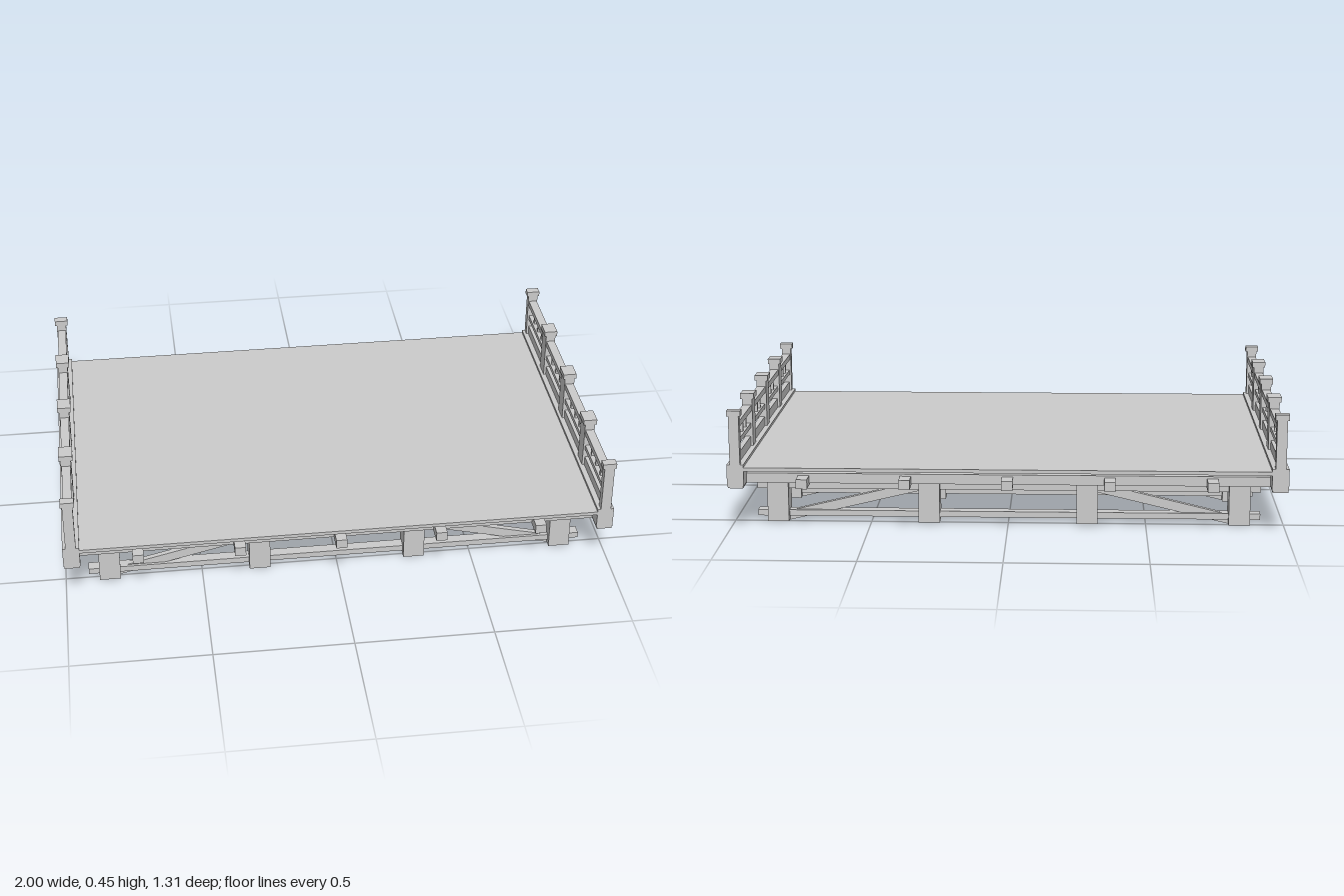
import * as THREE from 'three';

const mat = new THREE.MeshStandardMaterial({ color: 0xcccccc, flatShading: true });

export function createModel() {
  const root = new THREE.Group();

  // Box given by its centre x and z, its bottom and top, and its widths
  const box = (parent, name, x, z, y0, y1, w, d) => {
    const mesh = new THREE.Mesh(new THREE.BoxGeometry(w, y1 - y0, d), mat);
    mesh.name = name;
    mesh.position.set(x, (y0 + y1) / 2, z);
    parent.add(mesh);
    return mesh;
  };
  const group = (name) => {
    const g = new THREE.Group();
    g.name = name;
    root.add(g);
    return g;
  };

  // Deck boards
  box(root, 'deck', 0, 0, 0.225, 0.238, 1.89, 1.31);

  // Stringers running along the deck
  const stringers = group('stringers');
  for (let i = 0; i < 8; i++) {
    box(stringers, 'stringer', 0, (i - 3.5) * 0.1635, 0.167, 0.203, 1.89, 0.037);
  }

  // Joists running across the deck
  const joists = group('joists');
  for (let i = -2; i <= 2; i++) box(joists, 'joist', i * 0.367, 0, 0.16, 0.195, 0.04, 1.305);

  // Four trestle frames: legs, top beam, lower tie and diagonal braces
  for (const z of [-0.49, -0.164, 0.164, 0.49]) {
    const frame = group('trestleFrame');
    box(frame, 'topBeam', 0, z, 0.126, 0.168, 1.83, 0.045);
    box(frame, 'lowerTie', 0, z, 0.022, 0.044, 1.83, 0.04);
    for (const s of [-1, 1]) {
      for (const x of [0.287, 0.838]) box(frame, 'leg', s * x, z, 0.006, 0.166, 0.077, 0.08);
      const x0 = 0.82, y0 = 0.0165, x1 = 0.29, y1 = 0.143;
      const brace = box(frame, 'diagonalBrace', s * (x0 + x1) / 2, z, 0, 0.034, Math.hypot(x0 - x1, y1 - y0), 0.02);
      brace.position.y = (y0 + y1) / 2;
      brace.rotation.z = -s * Math.atan2(y1 - y0, x0 - x1);
    }
  }

  // Curb and railing on both sides
  for (const s of [-1, 1]) {
    const rail = group(s > 0 ? 'leftRailing' : 'rightRailing');
    const x = s * 0.97;
    box(rail, 'curb', x, 0, 0.17, 0.248, 0.06, 1.31);
    box(rail, 'curbSole', x, 0, 0.162, 0.17, 0.055, 1.31);
    box(rail, 'bottomRail', x, 0, 0.248, 0.283, 0.02, 1.3);
    box(rail, 'middleRail', x, 0, 0.316, 0.334, 0.024, 1.3);
    box(rail, 'topRail', x, 0, 0.38, 0.402, 0.032, 1.3);
    for (const z of [-0.64, -0.328, 0, 0.328, 0.64]) {
      const d = Math.abs(z) > 0.6 ? 0.03 : 0.064;
      box(rail, 'post', x, z, 0.245, 0.427, 0.037, d);
      box(rail, 'postCap', x, z, 0.425, 0.445, 0.05, d + 0.002);
    }
    // Three balusters in each bay
    for (const bay of [-0.492, -0.164, 0.164, 0.492]) {
      for (const dz of [-0.066, 0, 0.066]) box(rail, 'baluster', x, bay + dz, 0.33, 0.383, 0.012, 0.011);
    }
  }
  return root;
}
